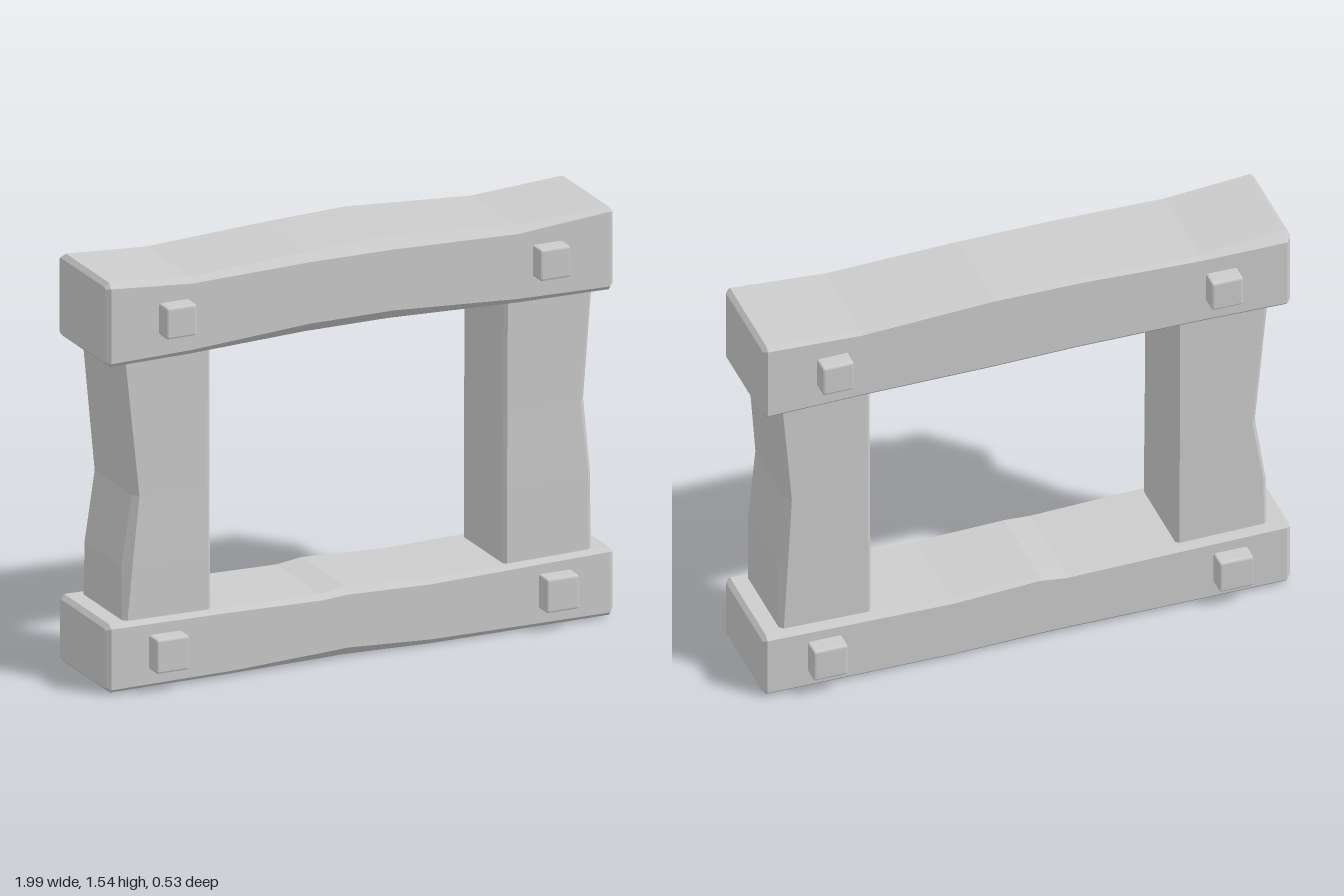
import * as THREE from 'three';
import { RoundedBoxGeometry } from 'three/addons/geometries/RoundedBoxGeometry.js';

const material = new THREE.MeshStandardMaterial({ color: 0xcccccc, flatShading: true, side: THREE.FrontSide });

// Hewn timber: chamfered rectangles lofted along t.
// Section: [t, u0, u1, v0, v1, chamfers at (u0v0), (u1v0), (u1v1), (u0v1)]
function timber(name, sections, toXYZ) {
  const bevel = 0.016;
  const inset = (s, dt) => [s[0] + dt, s[1] + bevel, s[2] - bevel, s[3] + bevel, s[4] - bevel, 0.006, 0.006, 0.006, 0.006];
  const first = sections[0], last = sections[sections.length - 1];
  const rows = [inset(first, -bevel), ...sections, inset(last, bevel)];
  const positions = [], index = [];
  for (const [t, u0, u1, v0, v1, a, b, c, d] of rows) {
    const ring = [
      [u0, v0 + a], [u0 + a, v0], [u1 - b, v0], [u1, v0 + b],
      [u1, v1 - c], [u1 - c, v1], [u0 + d, v1], [u0, v1 - d],
    ];
    for (const [u, v] of ring) positions.push(...toXYZ(t, u, v));
  }
  for (let k = 0; k < rows.length - 1; k++) {
    for (let j = 0; j < 8; j++) {
      const p = k * 8 + j, q = k * 8 + (j + 1) % 8;
      index.push(p, q, q + 8, p, q + 8, p + 8);
    }
  }
  const end = (rows.length - 1) * 8;
  for (let j = 1; j < 7; j++) {
    index.push(0, j + 1, j);
    index.push(end, end + j, end + j + 1);
  }
  const geometry = new THREE.BufferGeometry();
  geometry.setAttribute('position', new THREE.Float32BufferAttribute(positions, 3));
  geometry.setIndex(index);
  const flat = geometry.toNonIndexed();
  flat.computeVertexNormals();
  const mesh = new THREE.Mesh(flat, material);
  mesh.name = name;
  return mesh;
}

const alongX = (t, u, v) => [t, u, v]; // u = y, v = z
const alongY = (t, u, v) => [v, t, u]; // u = z, v = x

export function createModel() {
  const group = new THREE.Group();
  group.name = 'timberFrame';

  // Top beam, with worn middle edges
  group.add(timber('topBeam', [
    [-0.98, 1.225, 1.54, -0.205, 0.2, 0.015, 0.035, 0.02, 0.015],
    [-0.66, 1.227, 1.515, -0.198, 0.2, 0.015, 0.015, 0.02, 0.02],
    [-0.2, 1.235, 1.535, -0.203, 0.197, 0.015, 0.012, 0.03, 0.04],
    [0.13, 1.235, 1.543, -0.21, 0.195, 0.015, 0.012, 0.04, 0.04],
    [0.62, 1.227, 1.515, -0.2, 0.2, 0.015, 0.015, 0.025, 0.02],
    [0.98, 1.225, 1.535, -0.205, 0.2, 0.015, 0.015, 0.015, 0.015],
  ], alongX));

  // Bottom beam
  group.add(timber('bottomBeam', [
    [-0.98, 0.008, 0.262, -0.2, 0.2, 0.012, 0.015, 0.015, 0.012],
    [-0.5, 0.008, 0.256, -0.198, 0.2, 0.012, 0.015, 0.015, 0.015],
    [-0.15, 0.006, 0.25, -0.196, 0.197, 0.015, 0.015, 0.018, 0.03],
    [-0.05, 0.005, 0.263, -0.196, 0.195, 0.015, 0.015, 0.025, 0.035],
    [0.28, 0.001, 0.247, -0.198, 0.198, 0.012, 0.015, 0.018, 0.022],
    [0.98, 0.008, 0.262, -0.2, 0.2, 0.012, 0.015, 0.015, 0.012],
  ], alongX));

  // Posts, each with a hewn hollow on the outer face
  group.add(timber('rightPost', [
    [0.22, -0.165, 0.175, -0.92, -0.575, 0.012, 0.012, 0.012, 0.012],
    [0.46, -0.165, 0.175, -0.915, -0.575, 0.012, 0.03, 0.012, 0.012],
    [0.72, -0.167, 0.172, -0.876, -0.576, 0.015, 0.02, 0.012, 0.012],
    [1.26, -0.165, 0.175, -0.927, -0.577, 0.012, 0.012, 0.012, 0.012],
  ], alongY));
  group.add(timber('leftPost', [
    [0.22, -0.165, 0.175, 0.575, 0.92, 0.012, 0.012, 0.012, 0.012],
    [0.54, -0.165, 0.175, 0.575, 0.92, 0.012, 0.012, 0.015, 0.03],
    [0.82, -0.167, 0.172, 0.577, 0.896, 0.012, 0.012, 0.02, 0.02],
    [1.26, -0.165, 0.175, 0.578, 0.925, 0.012, 0.012, 0.012, 0.012],
  ], alongY));

  // Square pegs driven through each joint
  const pegs = [
    ['topRightPeg', -0.733, 1.381, 0.118],
    ['topLeftPeg', 0.735, 1.381, 0.118],
    ['bottomRightPeg', -0.767, 0.14, 0.128],
    ['bottomLeftPeg', 0.764, 0.14, 0.128],
  ];
  for (const [name, x, y, size] of pegs) {
    const peg = new THREE.Mesh(new RoundedBoxGeometry(size, size, 0.53, 1, 0.008), material);
    peg.name = name;
    peg.position.set(x, y, 0);
    group.add(peg);
  }
  return group;
}
